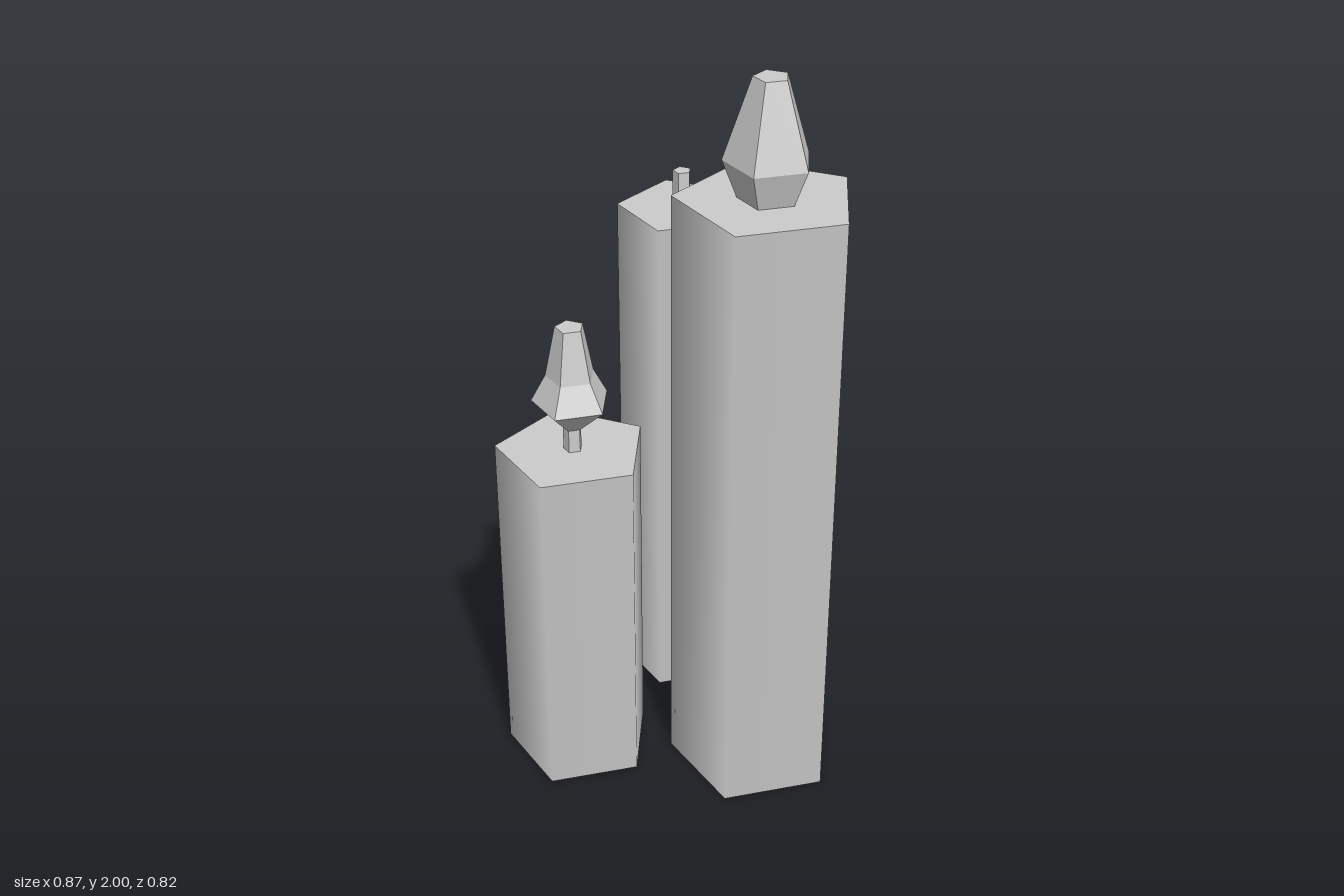
import * as THREE from 'three';

const TURN = THREE.MathUtils.degToRad(175.8); // shared twist of every pentagon

export function createModel() {
  const group = new THREE.Group();
  const grey = new THREE.MeshStandardMaterial({ color: 0xcccccc });
  grey.name = 'wax grey';

  // Smooth-sided pentagonal wax column
  const wax = (r, y0, y1) => {
    const g = new THREE.CylinderGeometry(r, r, y1 - y0, 5, 1, false, TURN);
    return g.translate(0, (y0 + y1) / 2, 0);
  };

  // Faceted five-sided solid from [radius, y] rings, closed at both ends
  const faceted = (rings) => {
    const points = [[0, rings[0][1]], ...rings, [0, rings[rings.length - 1][1]]]
      .map(([r, y]) => new THREE.Vector2(r, y));
    const g = new THREE.LatheGeometry(points, 5, TURN).toNonIndexed();
    g.computeVertexNormals();
    return g;
  };

  const candles = [
    { // tall candle, flame resting on the wax
      name: 'tallCandle', x: 0.204, z: -0.137, r: 0.234, y0: 0, y1: 1.695,
      flame: [[0.075, 1.69], [0.114, 1.79], [0.045, 2]],
    },
    { // middle candle, unlit
      name: 'middleCandle', x: -0.275, z: -0.24, r: 0.172, y0: 0.003, y1: 1.475,
      wick: [[0.025, 1.47], [0.025, 1.575]],
    },
    { // short candle, flame with a pinched tip
      name: 'shortCandle', x: -0.113, z: 0.234, r: 0.205, y0: 0.01, y1: 0.975,
      wick: [[0.025, 0.97], [0.025, 1.045]],
      flame: [[0.026, 1.04], [0.105, 1.115], [0.066, 1.19], [0.038, 1.33]],
    },
  ];

  for (const c of candles) {
    const candle = new THREE.Group();
    candle.name = c.name;
    candle.position.set(c.x, 0, c.z);
    const add = (name, geometry) => {
      const mesh = new THREE.Mesh(geometry, grey);
      mesh.name = name;
      candle.add(mesh);
    };
    add('wax', wax(c.r, c.y0, c.y1));
    if (c.wick) add('wick', faceted(c.wick));
    if (c.flame) add('flame', faceted(c.flame));
    group.add(candle);
  }
  return group;
}
